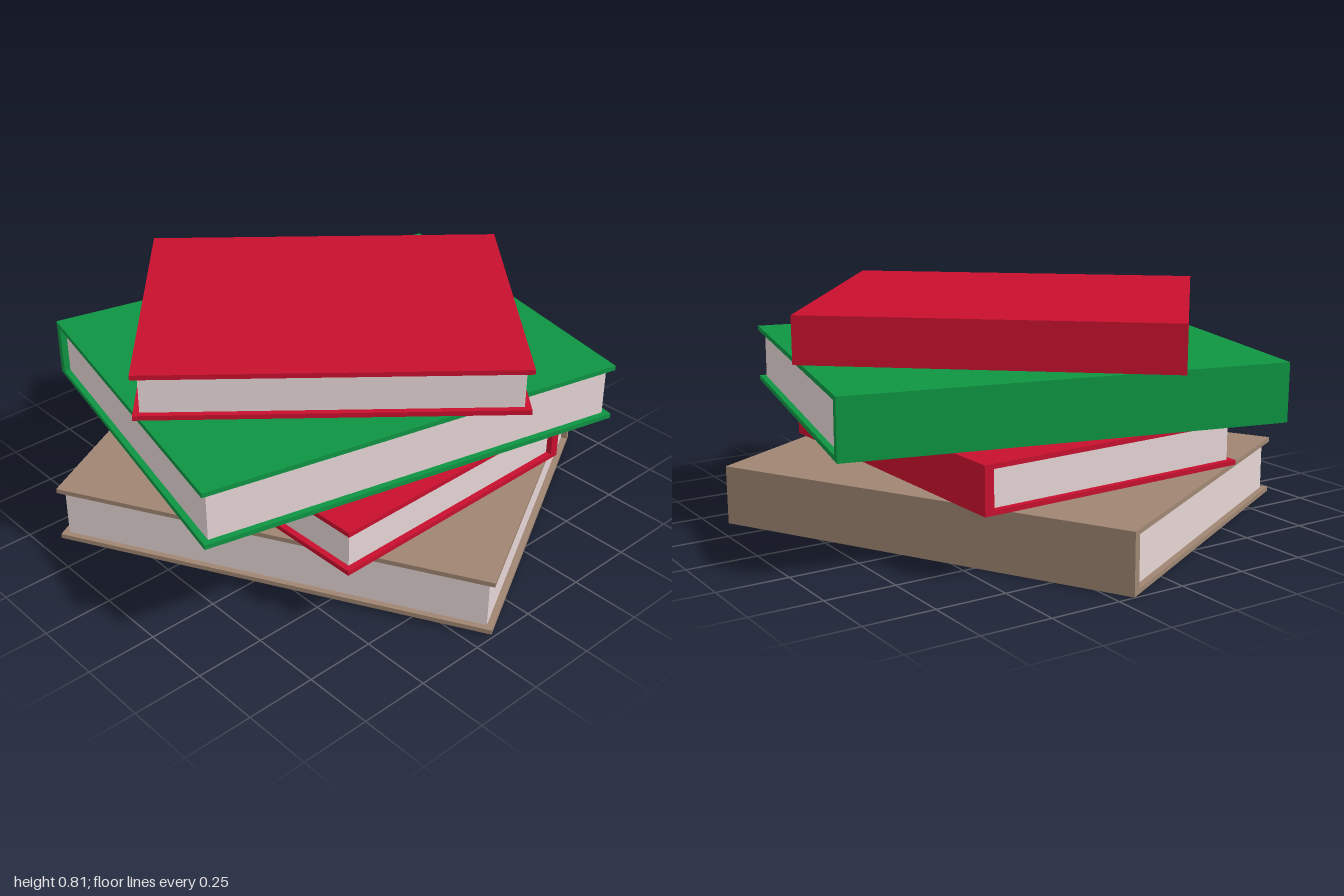
import * as THREE from 'three';

const mat = (name, color) => {
  const m = new THREE.MeshStandardMaterial({ color });
  m.name = name;
  return m;
};

// One closed book: spine along x at z = 0, fore edge towards +z, resting on y = 0
function makeBook(name, width, depth, height, coverMaterial, pageMaterial) {
  const board = 0.017, spine = 0.034, inset = 0.022;
  const book = new THREE.Group();
  book.name = name;

  // C-shaped cover: two boards joined by the spine, extruded along x
  const profile = new THREE.Shape([
    [0, 0], [depth, 0], [depth, board], [spine, board],
    [spine, height - board], [depth, height - board], [depth, height], [0, height],
  ].map(([z, y]) => new THREE.Vector2(-z, y)));
  const coverGeometry = new THREE.ExtrudeGeometry(profile, { depth: width, bevelEnabled: false });
  coverGeometry.translate(0, 0, -width / 2).rotateY(Math.PI / 2);
  const cover = new THREE.Mesh(coverGeometry, coverMaterial);
  cover.name = name + 'Cover';

  // Page block, set back from the open edges of the cover
  const pageDepth = depth - spine - inset;
  const pages = new THREE.Mesh(
    new THREE.BoxGeometry(width - 2 * inset, height - 2 * board, pageDepth), pageMaterial);
  pages.position.set(0, height / 2, spine + pageDepth / 2);
  pages.name = name + 'Pages';

  book.add(cover, pages);
  return book;
}

export function createModel() {
  const model = new THREE.Group();
  model.name = 'bookStack';
  const red = mat('redCover', 0xc8102e);
  const green = mat('greenCover', 0x0e9543);
  const brown = mat('brownCover', 0xa08672);
  const paper = mat('paper', 0xe6d5d5);

  // name, width along spine, depth, height, base y, turn, centre z, cover
  const books = [
    ['bottomBook', 1.58, 1.275, 0.212, 0, 0.496, -0.004, brown],
    ['lowerBook', 1.31, 1.047, 0.168, 0.225, 0.014, -0.004, red],
    ['upperBook', 1.575, 1.273, 0.211, 0.406, 1.341, -0.002, green],
    ['topBook', 1.3, 1.05, 0.168, 0.628, 0.862, -0.004, red],
  ];
  for (const [name, width, depth, height, y, turn, z, cover] of books) {
    const book = makeBook(name, width, depth, height, cover, paper);
    // Each book is turned on the stack and tips up very slightly at its fore edge
    book.rotation.set(-0.01, turn, 0, 'YXZ');
    book.position.set(-Math.sin(turn) * depth / 2, y, z - Math.cos(turn) * depth / 2);
    model.add(book);
  }
  return model;
}
